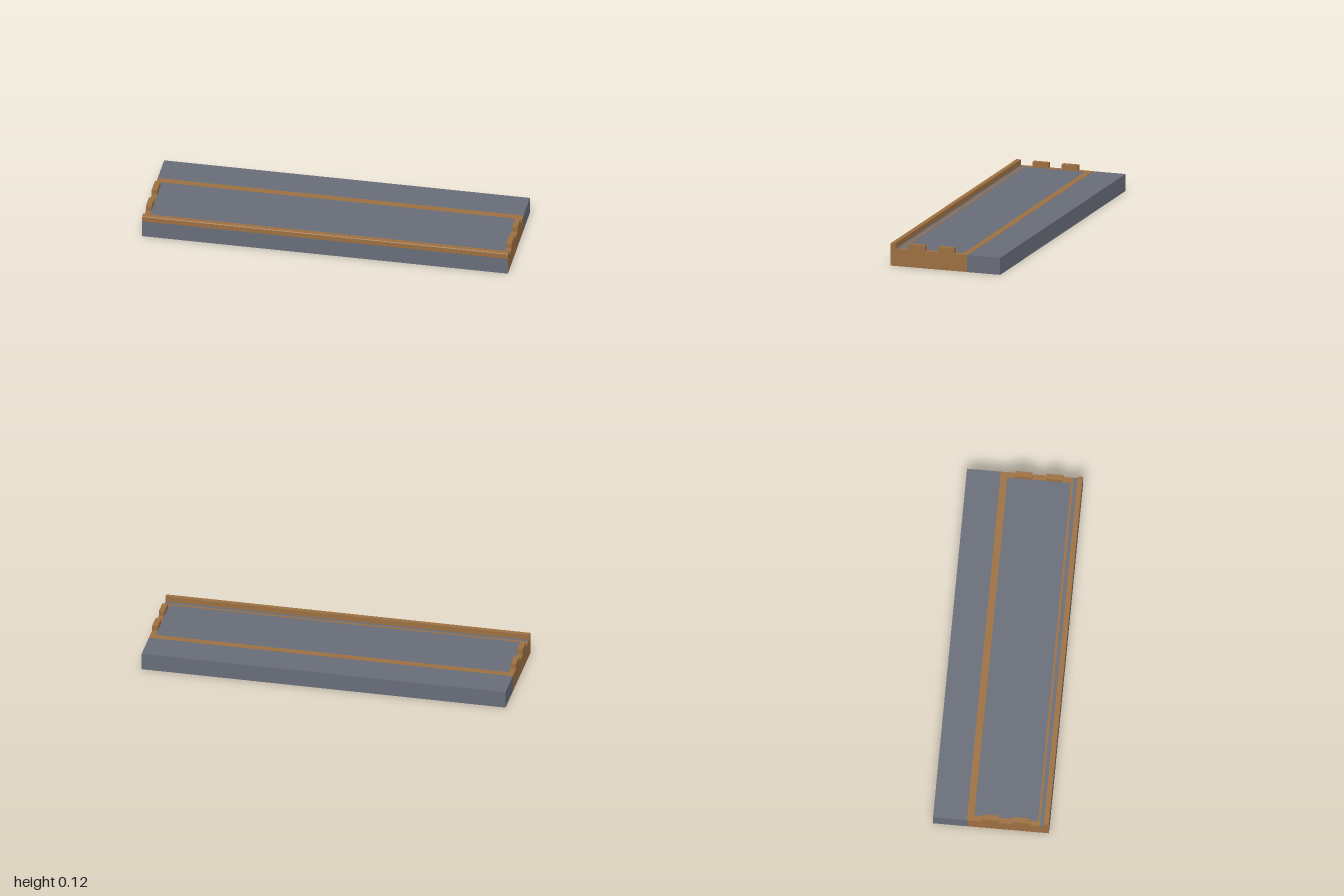
import * as THREE from 'three';

const DECK = 0.094, TOP = 0.125, HALF = 0.3125, RAIL = 0.284;

export function createModel() {
  const group = new THREE.Group();
  const stone = new THREE.MeshStandardMaterial({ color: 0x696d79 });
  stone.name = 'slate grey';
  const wood = new THREE.MeshStandardMaterial({ color: 0x9d7042 });
  wood.name = 'wood brown';

  // Box given by its extents along each axis
  function box(name, material, x0, x1, y0, y1, z0, z1) {
    const mesh = new THREE.Mesh(new THREE.BoxGeometry(x1 - x0, y1 - y0, z1 - z0), material);
    mesh.position.set((x0 + x1) / 2, (y0 + y1) / 2, (z0 + z1) / 2);
    mesh.name = name;
    group.add(mesh);
  }

  // Slab in three sections; face order is +x, -x, +y, -y, +z, -z
  box('backSlab', stone, -1, 1, 0, DECK, -HALF, -0.125);
  box('middleSlab', [wood, wood, stone, stone, stone, stone], -1, 1, 0, DECK, -0.125, RAIL);
  box('frontBeam', [wood, wood, wood, wood, stone, wood], -1, 1, 0, DECK, RAIL, HALF);

  // Thin border inlaid around the deck
  const y = DECK + 0.001;
  box('backBorder', wood, -1, 1, DECK - 0.002, y, -0.13, -0.092);
  box('frontBorder', wood, -0.97, 0.97, DECK - 0.002, y, 0.251, 0.263);

  for (const [side, x0, x1] of [['left', 0.97, 1], ['right', -1, -0.97]]) {
    box(side + 'Border', wood, x0, x1, DECK - 0.002, y, -0.092, 0.263);
    // Raised blocks at each end
    box(side + 'BackBlock', wood, x0, x1, DECK, TOP, -0.05, 0.041);
    box(side + 'FrontBlock', wood, x0, x1, DECK, TOP, 0.117, 0.207);
  }

  // Front rail with a rounded outer top edge; shape x runs along -z
  const r = 0.006;
  const profile = new THREE.Shape();
  profile.moveTo(-HALF, DECK);
  profile.lineTo(-RAIL, DECK);
  profile.lineTo(-RAIL, TOP);
  profile.lineTo(-HALF + r, TOP);
  profile.quadraticCurveTo(-HALF, TOP, -HALF, TOP - r);
  profile.closePath();
  const railGeometry = new THREE.ExtrudeGeometry(profile, { depth: 2, bevelEnabled: false, curveSegments: 4 });
  railGeometry.rotateY(Math.PI / 2).translate(-1, 0, 0);
  const rail = new THREE.Mesh(railGeometry, wood);
  rail.name = 'frontRail';
  group.add(rail);

  return group;
}
